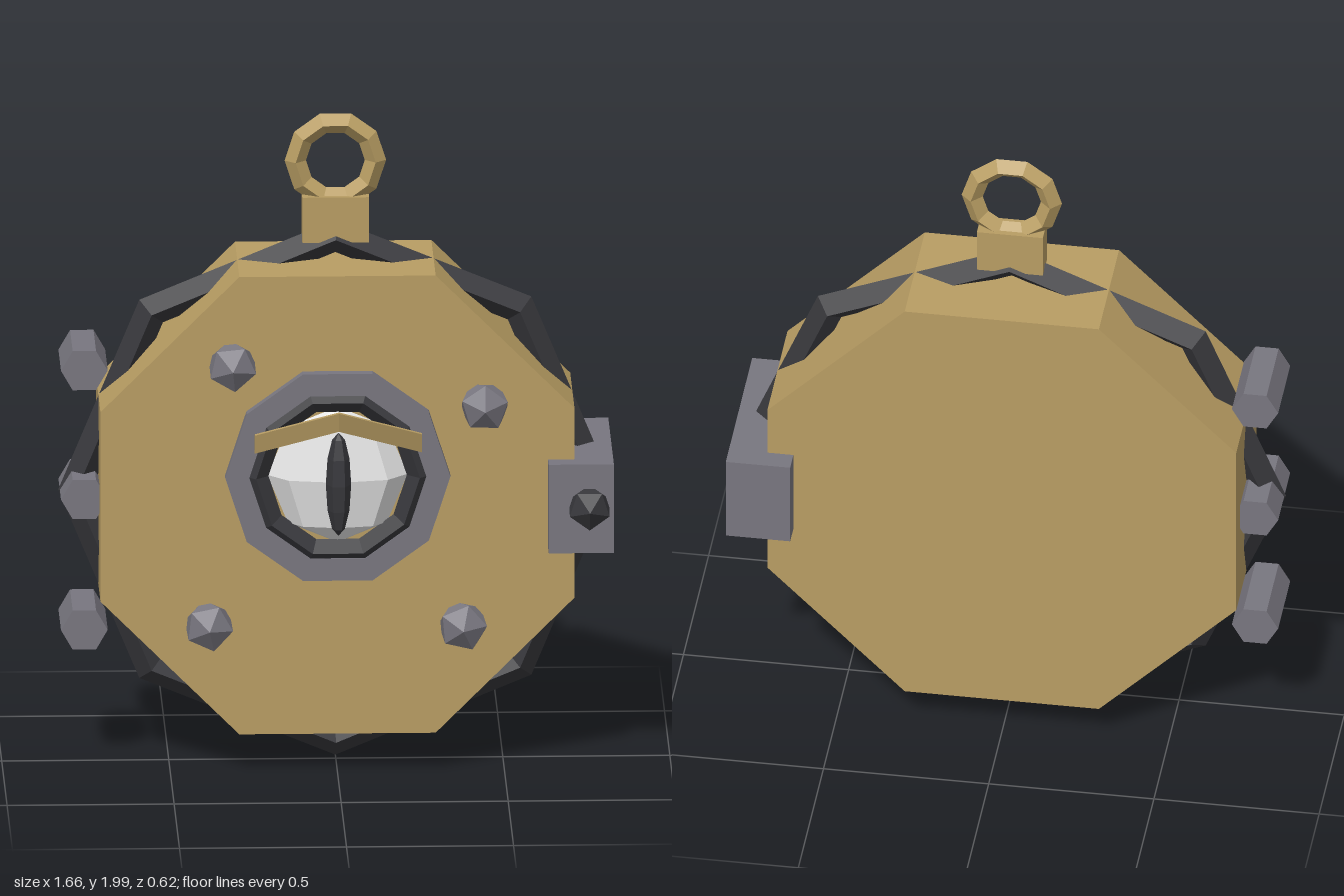
import * as THREE from 'three';

const flat = (name, color) => {
  const m = new THREE.MeshStandardMaterial({ color, flatShading: true });
  m.name = name;
  return m;
};

// Regular polygon outline
function polygon(Type, radius, sides) {
  const pts = [];
  for (let i = 0; i < sides; i++) {
    const a = (i / sides) * Math.PI * 2;
    pts.push(new THREE.Vector2(radius * Math.cos(a), radius * Math.sin(a)));
  }
  return new Type(pts);
}

// Prism along z, turned by half a side
function prism(radius, depth, sides) {
  return new THREE.CylinderGeometry(radius, radius, depth, sides, 1, false, Math.PI / sides).rotateX(Math.PI / 2);
}

// Icosahedron with one corner facing the front
function stud(radius) {
  return new THREE.IcosahedronGeometry(radius, 0).rotateX(Math.atan(2 / (1 + Math.sqrt(5))));
}

export function createModel() {
  const group = new THREE.Group();
  const brass = flat('brass', 0xb89d63);
  const steel = flat('steel', 0x78767f);
  const iron = flat('dark iron', 0x37373b);
  const white = flat('eye white', 0xe6e6e6);

  const add = (name, geometry, material, x, y, z) => {
    const mesh = new THREE.Mesh(geometry, material);
    mesh.name = name;
    mesh.position.set(x, y, z);
    group.add(mesh);
    return mesh;
  };

  // Octagonal case with an iron band around it
  add('case', prism(0.768, 0.4, 8), brass, 0, 0.84, -0.04);
  add('band', new THREE.TorusGeometry(0.78, 0.05, 4, 8), iron, 0, 0.84, -0.04);

  // Hanging loop
  add('loopBase', new THREE.BoxGeometry(0.2, 0.14, 0.08), brass, 0, 1.68, -0.04);
  add('loop', new THREE.TorusGeometry(0.12, 0.032, 4, 10), brass, 0, 1.855, -0.04);

  // Eye socket: steel rim and iron inner ring
  const rim = polygon(THREE.Shape, 0.337, 10);
  rim.holes.push(polygon(THREE.Path, 0.265, 10));
  add('eyeRim', new THREE.ExtrudeGeometry(rim, { depth: 0.055, bevelEnabled: false }), steel, 0, 0.935, 0.14);
  add('eyeRing', new THREE.TorusGeometry(0.245, 0.038, 4, 10), iron, 0, 0.935, 0.172);

  // Eyeball and slit pupil
  add('eyeball', new THREE.SphereGeometry(0.21, 8, 4).scale(1, 1, 0.46), white, 0, 0.935, 0.16);
  add('pupil', new THREE.SphereGeometry(1, 6, 6).scale(0.038, 0.16, 0.042), iron, 0, 0.93, 0.253);

  // Brow bent forward and up in the middle
  const brow = new THREE.BoxGeometry(0.5, 0.06, 0.016, 2, 1, 1);
  const p = brow.attributes.position;
  for (let i = 0; i < p.count; i++) {
    const bend = 1 - Math.abs(p.getX(i)) / 0.25;
    p.setZ(i, p.getZ(i) + 0.07 * bend + p.getY(i) * 0.25);
    p.setY(i, p.getY(i) + 0.085 * bend);
  }
  brow.computeVertexNormals();
  add('brow', brow, brass, 0, 1.05, 0.228);

  // Front rivets
  [[-0.315, 1.275, 0.1], [0.44, 1.145, 0.6], [-0.385, 0.47, 0.2], [0.375, 0.465, 0.4]].forEach(([x, y, turn]) => {
    add('rivet', stud(0.08), steel, x, y, 0.165).rotation.z = turn;
  });

  // Hinge pins
  for (const y of [1.24, 0.84, 0.435]) add('hingePin', prism(0.07, 0.24, 6), steel, -0.755, y, -0.045);

  // Latch with its knob
  add('latch', new THREE.BoxGeometry(0.195, 0.275, 0.525), steel, 0.728, 0.838, -0.042);
  add('latchKnob', stud(0.07), iron, 0.752, 0.842, 0.222);

  return group;
}
